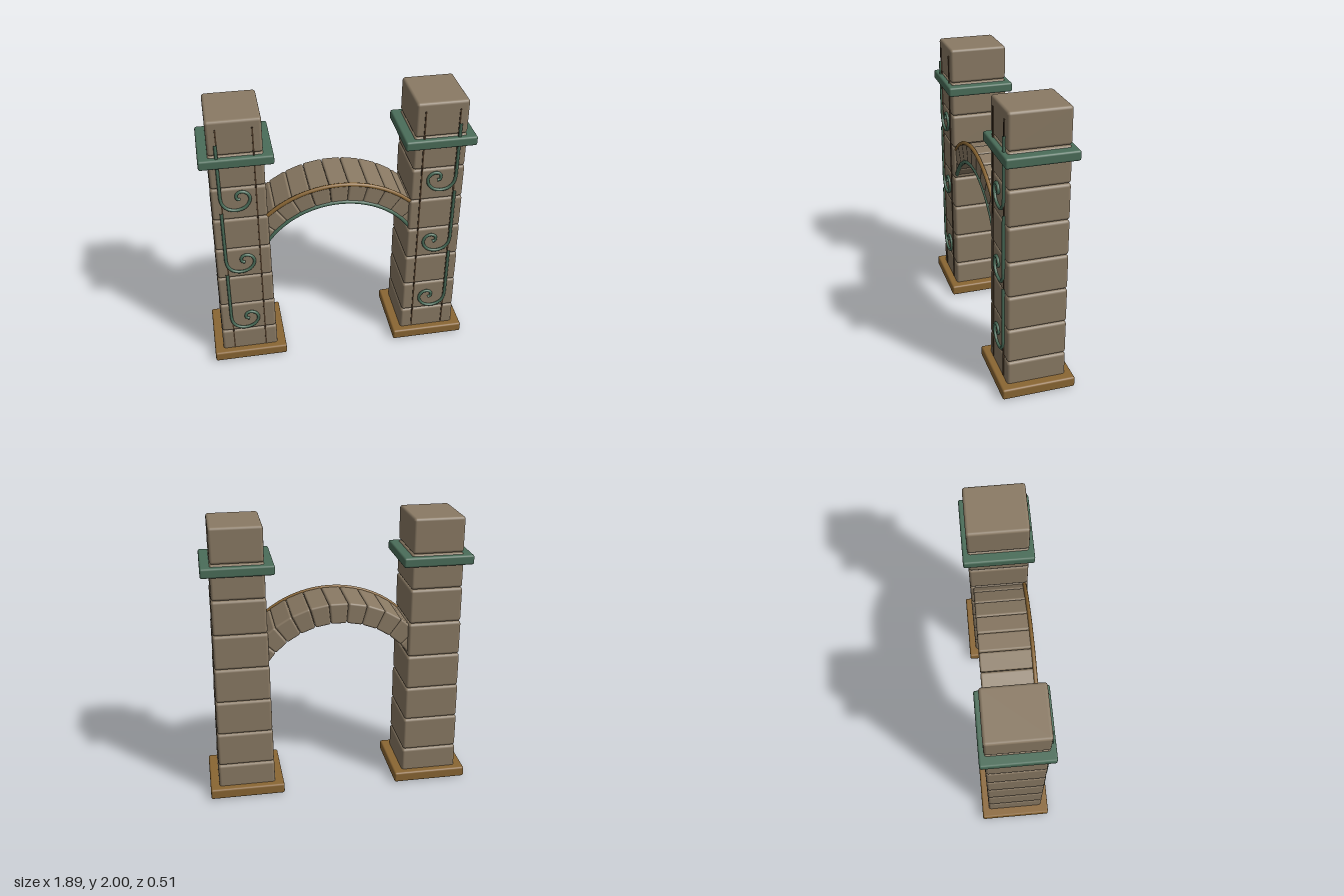
import * as THREE from 'three';
import { RoundedBoxGeometry } from 'three/addons/geometries/RoundedBoxGeometry.js';

const flat = (name, color) => {
  const m = new THREE.MeshStandardMaterial({ color });
  m.name = name;
  return m;
};

export function createModel() {
  const stone = flat('stone', 0x8a7a64);
  const green = flat('greenPatina', 0x4a6d59);
  const gold = flat('agedGold', 0x8a6633);
  const dark = flat('darkGroove', 0x4a3826);

  const model = new THREE.Group();
  model.name = 'archway';

  const add = (parent, name, geometry, material, x = 0, y = 0, z = 0) => {
    const mesh = new THREE.Mesh(geometry, material);
    mesh.name = name;
    mesh.position.set(x, y, z);
    parent.add(mesh);
    return mesh;
  };
  const block = (w, h, d, r) => new RoundedBoxGeometry(w, h, d, 2, r);

  // Scroll path, s = direction in which the hook curls
  const scrollGeometry = (s) => {
    const path = new THREE.CurvePath();
    const hook = [
      [0, -0.41], [0.012, -0.46], [0.045, -0.497], [0.1, -0.512], [0.155, -0.497],
      [0.188, -0.462], [0.198, -0.422], [0.182, -0.385], [0.145, -0.369],
      [0.114, -0.382], [0.106, -0.408], [0.116, -0.426], [0.132, -0.428],
    ].map(([x, y]) => new THREE.Vector3(s * x, y, 0));
    path.add(new THREE.LineCurve3(new THREE.Vector3(), hook[0]));
    path.add(new THREE.CatmullRomCurve3(hook));
    return new THREE.TubeGeometry(path, 90, 0.011, 8);
  };

  // Pillars
  for (const side of [-1, 1]) {
    const pillar = new THREE.Group();
    pillar.name = side < 0 ? 'rightPillar' : 'leftPillar';
    pillar.position.x = side * 0.68;
    model.add(pillar);

    // Eight stones, narrowing slightly upwards
    for (let i = 0; i < 8; i++) {
      add(pillar, 'pillarStone', block(0.406 - i * 0.007, 0.248, 0.412, 0.02), stone,
        0, 0.125 + i * 0.25 + (i === 0 ? -0.001 : i === 7 ? 0.001 : 0));
    }
    add(pillar, 'plinth', block(0.534, 0.076, 0.514, 0.014), gold, 0, 0.043);
    add(pillar, 'collar', block(0.49, 0.068, 0.478, 0.014), green, 0, 1.705);

    // Thin upright lines on the front
    for (const x of [-0.117, 0.117]) {
      add(pillar, 'frontLine', new THREE.BoxGeometry(0.01, 1.85, 0.009), dark, x, 1.017, 0.2075);
    }

    // Three hooked scrolls, curling towards the opening
    const scroll = scrollGeometry(-side);
    for (let i = 0; i < 3; i++) {
      add(pillar, 'scroll', scroll, green, side * 0.125, 1.84 - i * 0.525, 0.213);
    }
  }

  // Arch
  const arch = new THREE.Group();
  arch.name = 'arch';
  arch.position.y = 0.675;
  model.add(arch);

  const count = 11, half = THREE.MathUtils.degToRad(57);
  const inner = 0.605, outer = 0.752, mid = (inner + outer) / 2;
  const step = (2 * half) / count;

  // Wedge stone: a rounded block tapered towards the arch centre
  const wedge = block(2 * mid * Math.tan(step / 2) - 0.002, outer - inner, 0.37, 0.014);
  const p = wedge.attributes.position;
  for (let i = 0; i < p.count; i++) p.setX(i, p.getX(i) * (mid + p.getY(i)) / mid);

  for (let i = 0; i < count; i++) {
    const a = -half + step * (i + 0.5);
    const v = add(arch, 'archStone', wedge, stone, Math.sin(a) * mid, Math.cos(a) * mid, 0);
    v.rotation.z = -a;
  }

  // Trim along the front edges of the arch
  const trim = (name, radius, material) => {
    const t = add(arch, name, new THREE.TorusGeometry(radius, 0.014, 8, 56, 2 * half), material, 0, 0, 0.181);
    t.rotation.z = Math.PI / 2 - half;
  };
  trim('outerTrim', 0.751, gold);
  trim('innerTrim', 0.612, green);

  return model;
}
